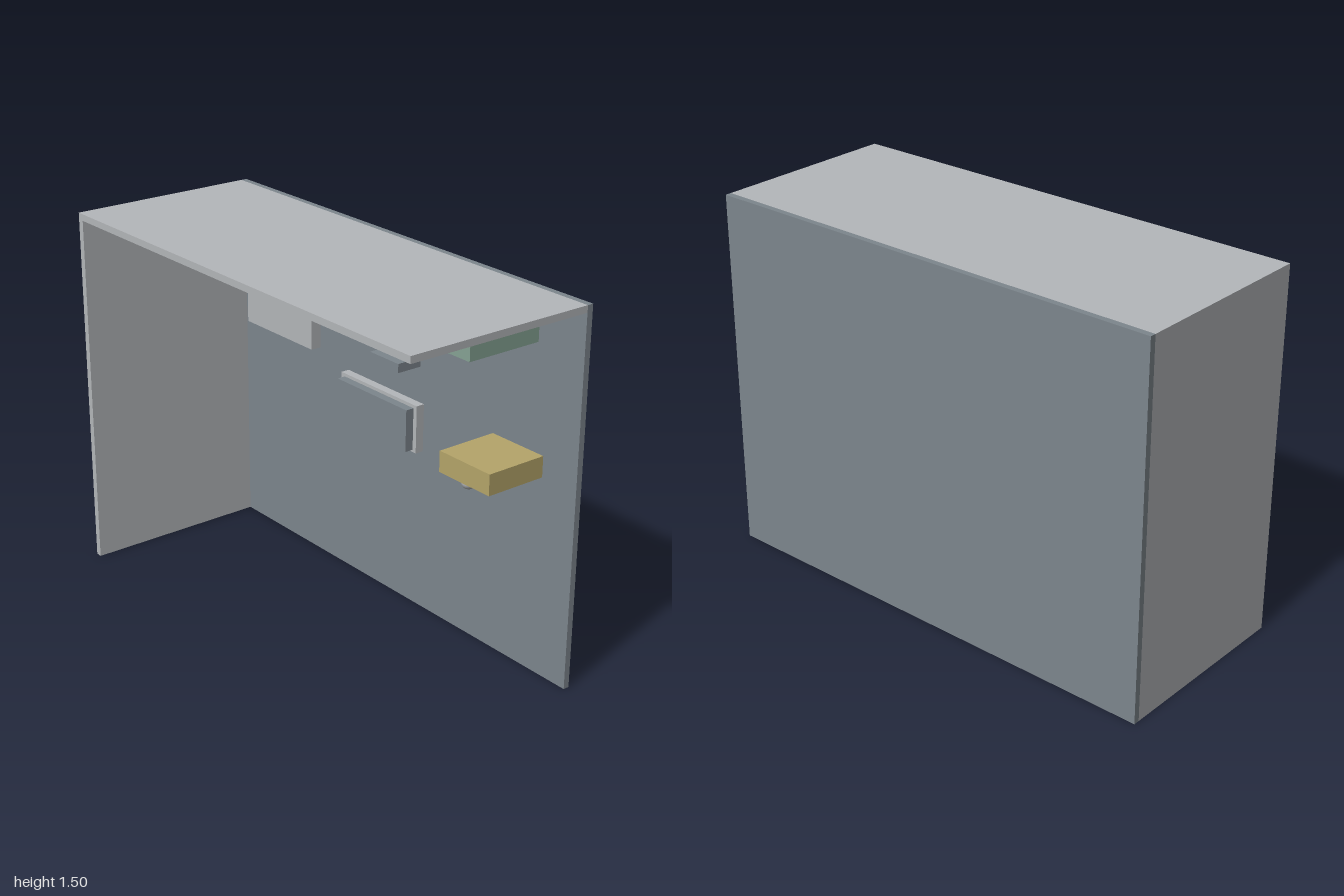
import * as THREE from 'three';

export function createModel() {
  const model = new THREE.Group();
  model.name = 'kitchenWallUnit';

  const material = (name, color) => {
    const m = new THREE.MeshStandardMaterial({ color });
    m.name = name;
    return m;
  };
  const grey = material('light grey', 0xb4b7ba);
  const slate = material('slate', 0x7d868d);
  const green = material('sage green', 0x86a394);
  const ochre = material('ochre', 0xb5a56a);

  // Box given by its extents on each axis
  const box = (name, mat, [x0, x1], [y0, y1], [z0, z1]) => {
    const mesh = new THREE.Mesh(new THREE.BoxGeometry(x1 - x0, y1 - y0, z1 - z0), mat);
    mesh.position.set((x0 + x1) / 2, (y0 + y1) / 2, (z0 + z1) / 2);
    mesh.name = name;
    model.add(mesh);
  };

  // Shell: back, one side and roof
  box('backWall', slate, [-1, 1], [0, 1.5], [-0.405, -0.38]);
  box('sideWall', grey, [-1, -0.973], [0, 1.473], [-0.38, 0.405]);
  box('roof', grey, [-1, 1], [1.473, 1.5], [-0.38, 0.405]);

  // Floating panels
  box('upperPanel', grey, [-0.775, -0.555], [1.275, 1.402], [-0.155, -0.12]);
  box('widePanel', grey, [-0.68, -0.257], [1.013, 1.193], [-0.22, -0.175]);
  box('screenFrame', grey, [-0.1, 0.345], [0.773, 0.963], [-0.235, -0.2]);
  box('screen', slate, [-0.08, 0.327], [0.782, 0.95], [-0.2, -0.165]);
  box('smallShelf', slate, [0.37, 0.525], [1.21, 1.244], [-0.055, 0.048]);
  box('ceilingStrip', slate, [-0.3, 0.145], [1.453, 1.464], [-0.19, -0.048]);

  // Wall-mounted boxes
  box('upperCabinet', green, [0.567, 0.777], [1.303, 1.428], [-0.38, -0.055]);
  box('lowerCabinet', ochre, [0.567, 0.83], [0.8, 0.884], [-0.38, -0.12]);

  // Row of knobs under the lower cabinet
  const knob = new THREE.SphereGeometry(0.028, 16, 12);
  [[-0.18, grey], [-0.255, slate], [-0.33, slate]].forEach(([z, mat], i) => {
    const mesh = new THREE.Mesh(knob, mat);
    mesh.position.set(0.66, 0.778, z);
    mesh.name = `knob${i + 1}`;
    model.add(mesh);
  });

  return model;
}
